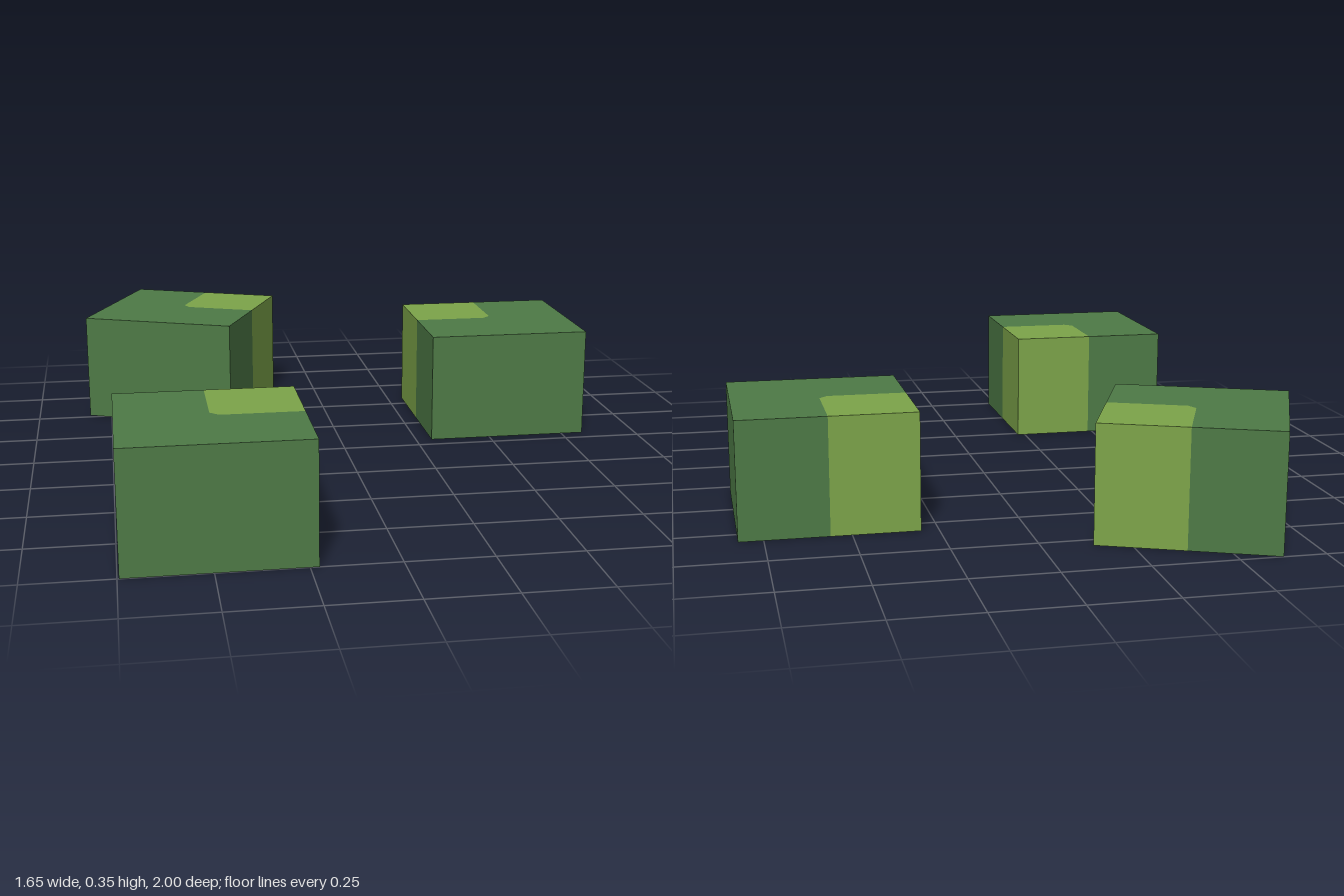
import * as THREE from 'three';
import { mergeGeometries } from 'three/addons/utils/BufferGeometryUtils.js';

const HALF = 0.26, HEIGHT = 0.35, CUT = 0.025;

const darkGreen = new THREE.MeshStandardMaterial({ color: 0x4e7a46 });
darkGreen.name = 'darkGreen';
const lightGreen = new THREE.MeshStandardMaterial({ color: 0x7da54a });
lightGreen.name = 'lightGreen';

// Upright skin over one region: top, bottom and the outer walls only
function regionGeometry(outer, inner) {
  const points = [...outer, ...inner];
  const cap = (flip) => new THREE.ShapeGeometry(
    new THREE.Shape(points.map(([x, y]) => new THREE.Vector2(x, y * flip))));
  const parts = [
    cap(1).rotateX(-Math.PI / 2).translate(0, HEIGHT, 0),
    cap(-1).rotateX(Math.PI / 2),
  ];
  for (let i = 0; i < outer.length - 1; i++) {
    const [ax, ay] = outer[i], [bx, by] = outer[i + 1];
    parts.push(new THREE.PlaneGeometry(Math.hypot(bx - ax, by - ay), HEIGHT)
      .rotateY(Math.atan2(by - ay, bx - ax))
      .translate((ax + bx) / 2, HEIGHT / 2, -(ay + by) / 2));
  }
  return mergeGeometries(parts);
}

export function createModel() {
  const model = new THREE.Group();
  model.name = 'greenBlocks';
  const h = HALF;

  // Main block wraps three quarters; the light corner fills the last one
  const bodyGeometry = regionGeometry(
    [[0, h], [-h, h], [-h, -h], [h, -h], [h, 0]], [[CUT, 0], [0, CUT]]);
  const cornerGeometry = regionGeometry(
    [[h, 0], [h, h], [0, h]], [[0, CUT], [CUT, 0]]);

  const blocks = [
    ['frontBlock', -0.485, 0.74, 0],
    ['sideBlock', 0.562, -0.312, Math.PI / 2],
    ['backBlock', -0.485, -0.66, -0.395],
  ];
  for (const [name, x, z, turn] of blocks) {
    const block = new THREE.Group();
    block.name = name;
    const body = new THREE.Mesh(bodyGeometry, darkGreen);
    body.name = 'blockBody';
    const corner = new THREE.Mesh(cornerGeometry, lightGreen);
    corner.name = 'lightCorner';
    block.add(body, corner);
    block.position.set(x, 0, z);
    block.rotation.y = turn;
    model.add(block);
  }
  return model;
}
